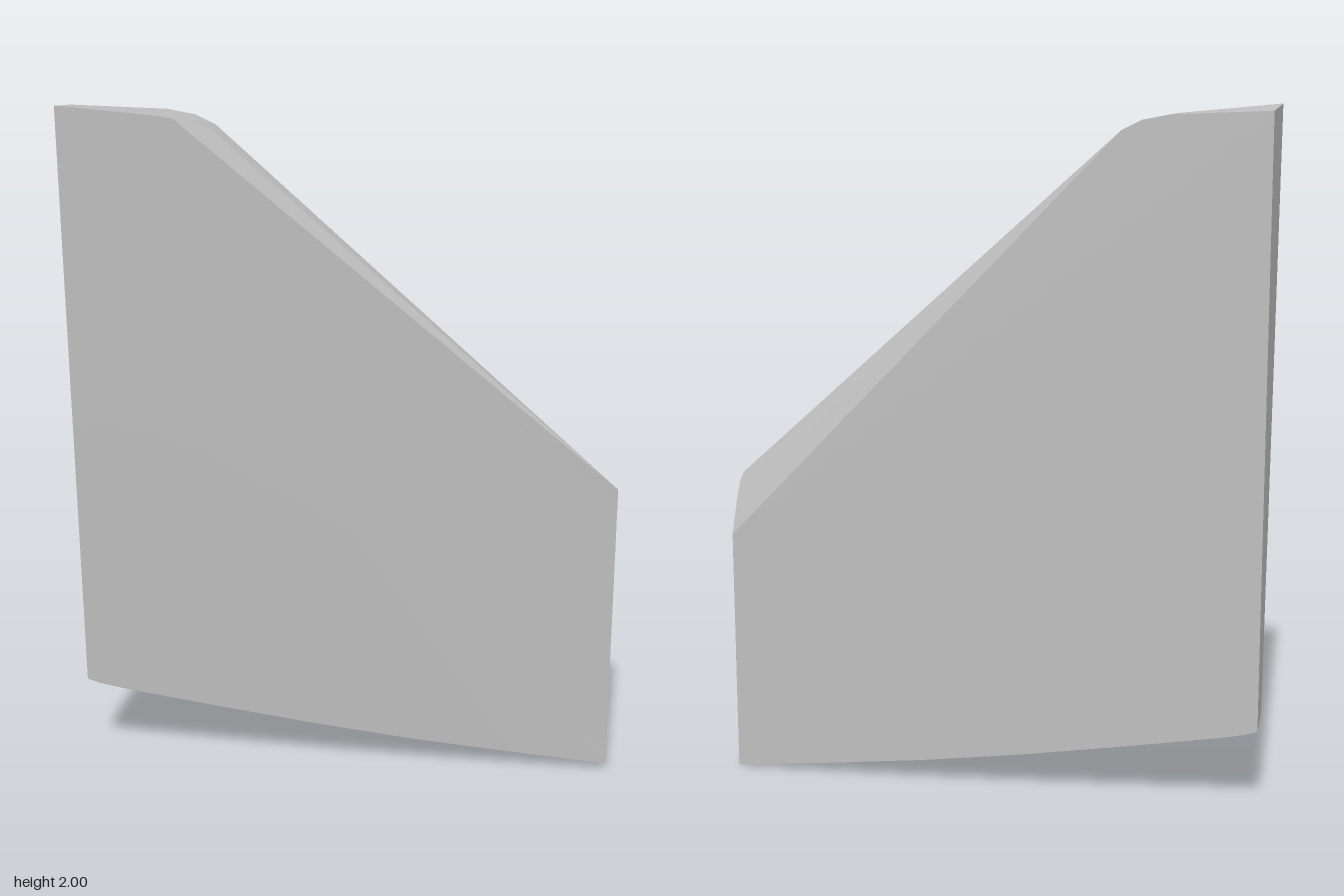
import * as THREE from 'three';
import { toCreasedNormals } from 'three/addons/utils/BufferGeometryUtils.js';

const CENTRE = new THREE.Vector3(-0.1, 1, -0.04);
const v = (x, y, z) => new THREE.Vector3(x, y, z);

// Adds a triangle, turned so that it faces away from the centre of the panel
function addTriangle(out, a, b, c) {
  const n = b.clone().sub(a).cross(c.clone().sub(a));
  if (n.length() < 1e-7) return;
  const outward = n.dot(a.clone().sub(CENTRE)) > 0;
  for (const p of outward ? [a, b, c] : [a, c, b]) out.push(p.x, p.y, p.z);
}

function addFan(out, apex, rim) {
  for (let i = 0; i < rim.length - 1; i++) addTriangle(out, apex, rim[i], rim[i + 1]);
}

function addStrip(out, p, q) {
  for (let i = 0; i < p.length - 1; i++) {
    addTriangle(out, p[i], q[i], q[i + 1]);
    addTriangle(out, p[i], q[i + 1], p[i + 1]);
  }
}

export function createModel() {
  const back = -0.09, mid = 0.015;

  // Top edge: front corner, rounded middle and back
  const topFront = [v(-0.795, 2, 0.085), v(-0.51, 1.974, 0.085), v(-0.47, 1.966, 0.085), v(-0.47, 1.966, 0.085)];
  const topMid = [v(-0.791, 1.992, mid), v(-0.51, 1.974, mid), v(-0.43, 1.957, mid), v(-0.375, 1.93, mid)];
  const topBack = [v(-0.787, 1.982, back), v(-0.51, 1.972, back), v(-0.43, 1.957, back), v(-0.375, 1.93, back)];

  // Bottom edge, curved from the tall side to the short side
  const curve = [[-0.79, 0.242], [-0.75, 0.228], [-0.68, 0.213], [-0.4, 0.163], [-0.1, 0.112], [0.2, 0.068], [0.5, 0.032], [0.79, 0]];
  const bottomBack = curve.map(([x, y]) => v(x, y, back));
  const bottomFront = curve.map(([x, y]) => v(x, y + 0.019, mid));

  // Rounded upper edge of the short side
  const tip = v(0.79, 0.9, mid);
  const endCurve = [tip, v(0.79, 0.875, -0.02), v(0.79, 0.84, -0.04), v(0.79, 0.795, -0.062), v(0.79, 0.73, back)];
  const last = curve.length - 1;

  const panel = [];
  // Front and back faces
  addFan(panel, topFront[0], [...bottomFront, tip, topFront[2], topFront[1]]);
  addFan(panel, topBack[0], [...bottomBack, endCurve[4], topBack[3], topBack[2], topBack[1]]);
  // Top and bottom
  addStrip(panel, topFront, topMid);
  addStrip(panel, topMid, topBack);
  addStrip(panel, bottomFront, bottomBack);
  // Sloping edge with its bevels
  addTriangle(panel, topFront[2], topMid[3], tip);
  addTriangle(panel, topMid[3], topBack[3], tip);
  addFan(panel, topBack[3], endCurve);
  // Tall and short sides
  addFan(panel, bottomBack[0], [bottomFront[0], topFront[0], topMid[0], topBack[0]]);
  addFan(panel, bottomBack[last], [bottomFront[last], ...endCurve]);

  const geometry = new THREE.BufferGeometry();
  geometry.setAttribute('position', new THREE.Float32BufferAttribute(panel, 3));
  const grey = new THREE.MeshStandardMaterial({ color: 0xbfbfbf });
  grey.name = 'light grey';
  const mesh = new THREE.Mesh(toCreasedNormals(geometry, 0.3), grey);
  mesh.name = 'taperedPanel';

  const group = new THREE.Group();
  group.name = 'panel';
  group.add(mesh);
  return group;
}
